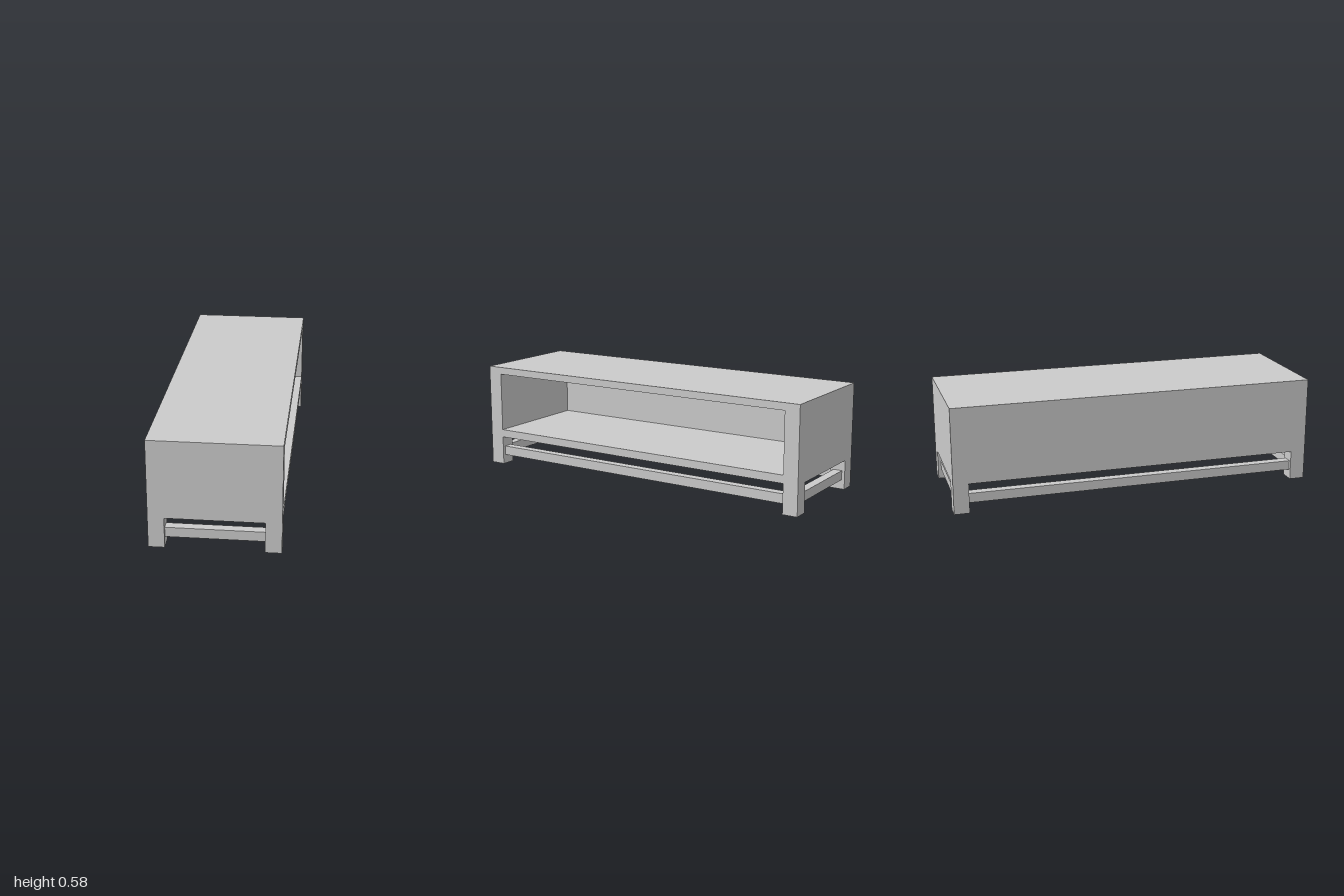
import * as THREE from 'three';

export function createModel() {
  const group = new THREE.Group();
  const material = new THREE.MeshStandardMaterial({ color: 0xcccccc, flatShading: true });

  // overall half width, half length, height and the square leg section
  const W = 0.333, L = 1, H = 0.578, LEG = 0.083;
  const BASE = 0.163, FLOOR = 0.207, PANEL = 0.04;
  const inner = L - LEG;

  // box given by its lower and upper corners
  const box = (name, x0, x1, y0, y1, z0, z1) => {
    const mesh = new THREE.Mesh(new THREE.BoxGeometry(x1 - x0, y1 - y0, z1 - z0), material);
    mesh.position.set((x0 + x1) / 2, (y0 + y1) / 2, (z0 + z1) / 2);
    mesh.name = name;
    group.add(mesh);
  };

  // end panels, each cut away below to leave two legs
  const a = W - LEG;
  const endShape = new THREE.Shape([
    [-W, 0], [-a, 0], [-a, BASE], [a, BASE], [a, 0], [W, 0], [W, H], [-W, H],
  ].map(([x, y]) => new THREE.Vector2(x, y)));
  const endGeometry = new THREE.ExtrudeGeometry(endShape, { depth: LEG, bevelEnabled: false });
  for (const [name, z] of [['frontEndPanel', inner], ['backEndPanel', -L]]) {
    const mesh = new THREE.Mesh(endGeometry, material);
    mesh.name = name;
    mesh.position.z = z;
    group.add(mesh);
  }

  // cabinet shell, open on the +x side
  box('topPanel', -W, W, H - PANEL, H, -inner, inner);
  box('floorPanel', -W, W, BASE, FLOOR, -inner, inner);
  box('rearPanel', -W, -W + PANEL, FLOOR, H - PANEL, -inner, inner);

  // stretchers between the legs, set in from the outer faces
  const R0 = 0.052, R1 = 0.104, inset = 0.017, thick = 0.05;
  for (const s of [-1, 1]) {
    const x = s * (W - inset - thick / 2), z = s * (L - inset - thick / 2);
    box('longStretcher', x - thick / 2, x + thick / 2, R0, R1, -inner, inner);
    box('shortStretcher', -a, a, R0, R1, z - thick / 2, z + thick / 2);
  }
  return group;
}
